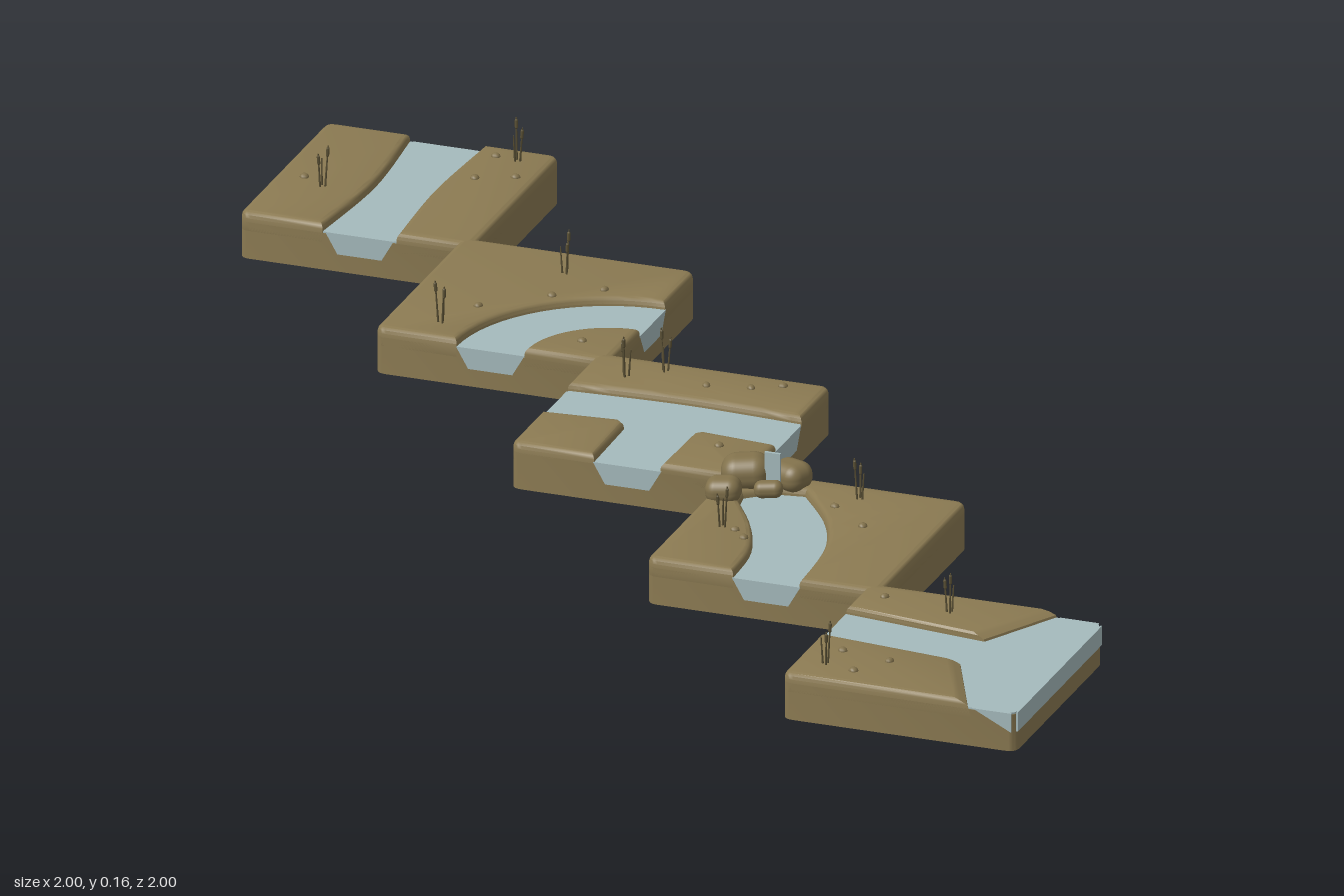
import * as THREE from 'three';
import { toCreasedNormals } from 'three/addons/utils/BufferGeometryUtils.js';
import { RoundedBoxGeometry } from 'three/addons/geometries/RoundedBoxGeometry.js';

const H = 0.212, R = 0.02, TOP = 0.085, WATER = 0.07, STEP = 0.394;

function material(name, color) {
  const m = new THREE.MeshStandardMaterial({ color });
  m.name = name;
  return m;
}

// Plan outline from [x, z] points; a third value rounds that corner
function outline(points) {
  const s = new THREE.Shape(), n = points.length;
  const toward = (a, b, r) => {
    const d = Math.hypot(b[0] - a[0], b[1] - a[1]);
    return [a[0] + (b[0] - a[0]) * r / d, a[1] + (b[1] - a[1]) * r / d];
  };
  points.forEach((p, i) => {
    const r = p[2] || 0;
    const a = r ? toward(p, points[(i + n - 1) % n], r) : p;
    if (i) s.lineTo(a[0], a[1]); else s.moveTo(a[0], a[1]);
    if (r) s.quadraticCurveTo(p[0], p[1], ...toward(p, points[(i + 1) % n], r));
  });
  s.closePath();
  return s;
}

// Smooth bank line through a few points
function curve(points, n = 14) {
  return new THREE.SplineCurve(points.map(p => new THREE.Vector2(...p))).getPoints(n).map(p => [p.x, p.y]);
}

function arc(r) {
  return Array.from({ length: 17 }, (_, i) => {
    const a = i / 16 * Math.PI / 2;
    return [H - r * Math.sin(a), H - r * Math.cos(a)];
  });
}

// Horizontal slab between two heights, with optional rounded rim
function slab(points, y0, y1, bevel = 0) {
  const g = new THREE.ExtrudeGeometry(outline(points), {
    depth: y1 - y0 - 2 * bevel, bevelEnabled: bevel > 0, bevelSize: bevel,
    bevelThickness: bevel, bevelOffset: -bevel, bevelSegments: 3, curveSegments: 5
  });
  return g.rotateX(Math.PI / 2).translate(0, y1 - bevel, 0);
}

const square = h => [[-h, -h, R], [h, -h, R], [h, h, R], [-h, h, R]];
const mirrorX = pts => pts.map(([x, z, r]) => [-x, z, r]);

// Water seen in the cut side of a tile
const channel = u => [[u - 0.062, WATER], [u - 0.04, 0.032], [u + 0.04, 0.032], [u + 0.062, WATER]];
const FRONT = 0, RIGHT = Math.PI / 2, BACK = Math.PI, LEFT = -Math.PI / 2;

const southWest = [[-H, 0.06], [-0.075, 0.048], [-0.063, 0.06], [-0.06, H], [-H, H, R]];
const shore = [[0.134, WATER], [H - 0.008, WATER], [H - 0.008, 0.035]];

// Land pieces, side cuts, reeds and pebbles (the last two in whole-model x, z)
const tiles = [
  {
    name: 'straightRiverTile',
    land: [
      [[-H, -H, R], ...curve([[-0.06, -H], [-0.044, 0], [-0.06, H]]), [-H, H, R]],
      [[H, -H, R], ...curve([[0.074, -H], [0.063, 0], [0.074, H]]), [H, H, R]]
    ],
    cuts: [[FRONT, channel(0.007)], [BACK, channel(-0.007)]],
    reeds: [[-0.906, -0.73], [-0.635, -0.95]],
    pebbles: [[-0.676, -0.955], [-0.676, -0.853], [-0.612, -0.88], [-0.949, -0.757]]
  },
  {
    name: 'bendRiverTile',
    land: [
      [[-H, -H, R], [H, -H, R], ...arc(0.275), [-H, H, R]],
      [[H, H, R], ...arc(0.152)]
    ],
    cuts: [[FRONT, channel(-0.002)], [RIGHT, channel(0.002)]],
    reeds: [[-0.385, -0.516], [-0.507, -0.24]],
    pebbles: [[-0.473, -0.329], [-0.372, -0.415], [-0.297, -0.47], [-0.254, -0.246]]
  },
  {
    name: 'forkRiverTile',
    land: [
      [[-H, -H, R], [H, -H, R], ...curve([[H, -0.066], [0, -0.076], [-H, -0.066]])],
      southWest, mirrorX(southWest)
    ],
    cuts: [[FRONT, channel(0)], [RIGHT, channel(0)], [LEFT, channel(0)]],
    reeds: [[-0.075, -0.172], [-0.13, -0.128]],
    pebbles: [[0.013, -0.136], [0.136, -0.179], [0.088, -0.152], [0.126, 0.104]]
  },
  {
    name: 'springRiverTile',
    land: [[
      [-H, -H, R], [H, -H, R], [H, H, R],
      ...curve([[0.066, H], [0.054, 0.061], [0.011, -0.059], [-0.064, -0.164]]),
      [-0.12, -0.155], [-0.16, -0.12],
      ...curve([[-0.154, -0.084], [-0.099, 0.006], [-0.062, 0.106], [-0.054, H]]), [-H, H, R]
    ]],
    cuts: [[FRONT, channel(0.006)]],
    reeds: [[0.432, 0.238], [0.256, 0.434]],
    pebbles: [[0.404, 0.286], [0.479, 0.35], [0.281, 0.441], [0.307, 0.468]]
  },
  {
    name: 'riverMouthTile', beach: true,
    land: [
      [[-H, -H, R], [0.134, -H], [0.057, -0.068], [-H, -0.1]],
      [[-H, 0.022], [0.057, 0.047], [0.132, H], [-H, H, R]]
    ],
    cuts: [
      [LEFT, channel(-0.039)], [FRONT, shore], [BACK, mirrorX(shore)],
      [RIGHT, [[-0.204, 0.035], [0.204, 0.035], [0.204, WATER], [-0.204, WATER]]]
    ],
    reeds: [[0.75, 0.652], [0.632, 0.938]],
    pebbles: [[0.623, 0.628], [0.639, 0.874], [0.73, 0.89], [0.687, 0.95]]
  }
];

export function createModel() {
  const model = new THREE.Group();
  model.name = 'riverTiles';
  const earth = material('earth', 0x8b7a52);
  const water = material('water', 0xa5babc);
  const stone = material('stone', 0x82724c);
  const reed = material('reed', 0x5c5236);

  const add = (parent, name, geometry, mat, x = 0, y = 0, z = 0) => {
    const m = new THREE.Mesh(geometry, mat);
    m.name = name;
    m.position.set(x, y, z);
    parent.add(m);
    return m;
  };

  const stem = new THREE.CylinderGeometry(0.0012, 0.002, 1, 5).translate(0, 0.5, 0);
  const head = new THREE.CapsuleGeometry(0.003, 0.012, 3, 6);
  const pebble = new THREE.SphereGeometry(0.011, 10, 6);

  tiles.forEach((t, i) => {
    const c = (i - 2) * STEP;
    const tile = new THREE.Group();
    tile.name = t.name;
    tile.position.set(c, 0, c);
    model.add(tile);

    // Base block and water surface
    add(tile, 'base', toCreasedNormals(slab(square(H), 0, WATER - 0.003), 0.6), earth);
    add(tile, 'waterSurface', slab(square(H - 0.001), WATER - 0.005, WATER), water);

    // Raised land with soft rims; the shore slopes gently
    t.land.forEach(points => {
      const g = slab(points, 0.04, TOP, 0.011);
      if (t.beach) {
        const p = g.attributes.position;
        for (let k = 0; k < p.count; k++) {
          if (p.getX(k) > 0.02) p.setX(k, p.getX(k) - Math.max(0, p.getY(k) - WATER) * 1.9);
        }
        g.computeVertexNormals();
      }
      add(tile, 'land', toCreasedNormals(g, 0.6), earth);
    });

    // Water cross-sections on the cut sides
    t.cuts.forEach(([turn, points]) => {
      const g = new THREE.ExtrudeGeometry(outline(points), { depth: 0.003, bevelEnabled: false });
      g.translate(0, 0, H - 0.002).rotateY(turn);
      add(tile, 'waterCut', g, water);
    });

    // Reed clumps
    t.reeds.forEach(([x, z], j) => {
      const clump = new THREE.Group();
      clump.name = 'reeds';
      clump.position.set(x - c, TOP - 0.002, z - c);
      clump.rotation.y = i * 1.3 + j * 2.1;
      tile.add(clump);
      [0.078, 0.064, 0.05].forEach((h, k) => {
        const stalk = new THREE.Group();
        stalk.name = 'stalk';
        const a = k * 2.1;
        stalk.position.set(Math.cos(a) * 0.005, 0, Math.sin(a) * 0.005);
        stalk.rotation.set(Math.sin(a) * 0.07, 0, -Math.cos(a) * 0.07);
        clump.add(stalk);
        add(stalk, 'stem', stem, reed).scale.y = h;
        if (k < 2) add(stalk, 'seedHead', head, reed, 0, h - 0.012, 0);
      });
    });

    // Pebbles
    t.pebbles.forEach(([x, z], j) => {
      const p = add(tile, 'pebble', pebble, stone, x - c, TOP, z - c);
      p.scale.set(0.8, 0.6, 0.65 + 0.1 * (j % 2));
      p.rotation.y = i + j * 1.7;
    });
  });

  // Boulders around the spring: x, z, width, height, depth, yaw
  [
    [0.225, 0.237, 0.085, 0.062, 0.068, 0.3], [0.297, 0.212, 0.07, 0.05, 0.06, -0.4],
    [0.21, 0.306, 0.062, 0.045, 0.052, 0.2], [0.275, 0.262, 0.05, 0.03, 0.03, 0.25]
  ].forEach(([x, z, w, h, d, yaw]) => {
    const g = new RoundedBoxGeometry(w, h, d, 4, Math.min(h, d) * 0.45);
    const b = add(model, 'boulder', g, stone, x, 0.074 + h / 2, z);
    b.rotation.set(0.05, yaw, 0.06);
  });
  // Spring spilling between the boulders
  add(model, 'springWater', new THREE.BoxGeometry(0.028, 0.075, 0.006), water, 0.277, 0.113, 0.247);

  return model;
}
